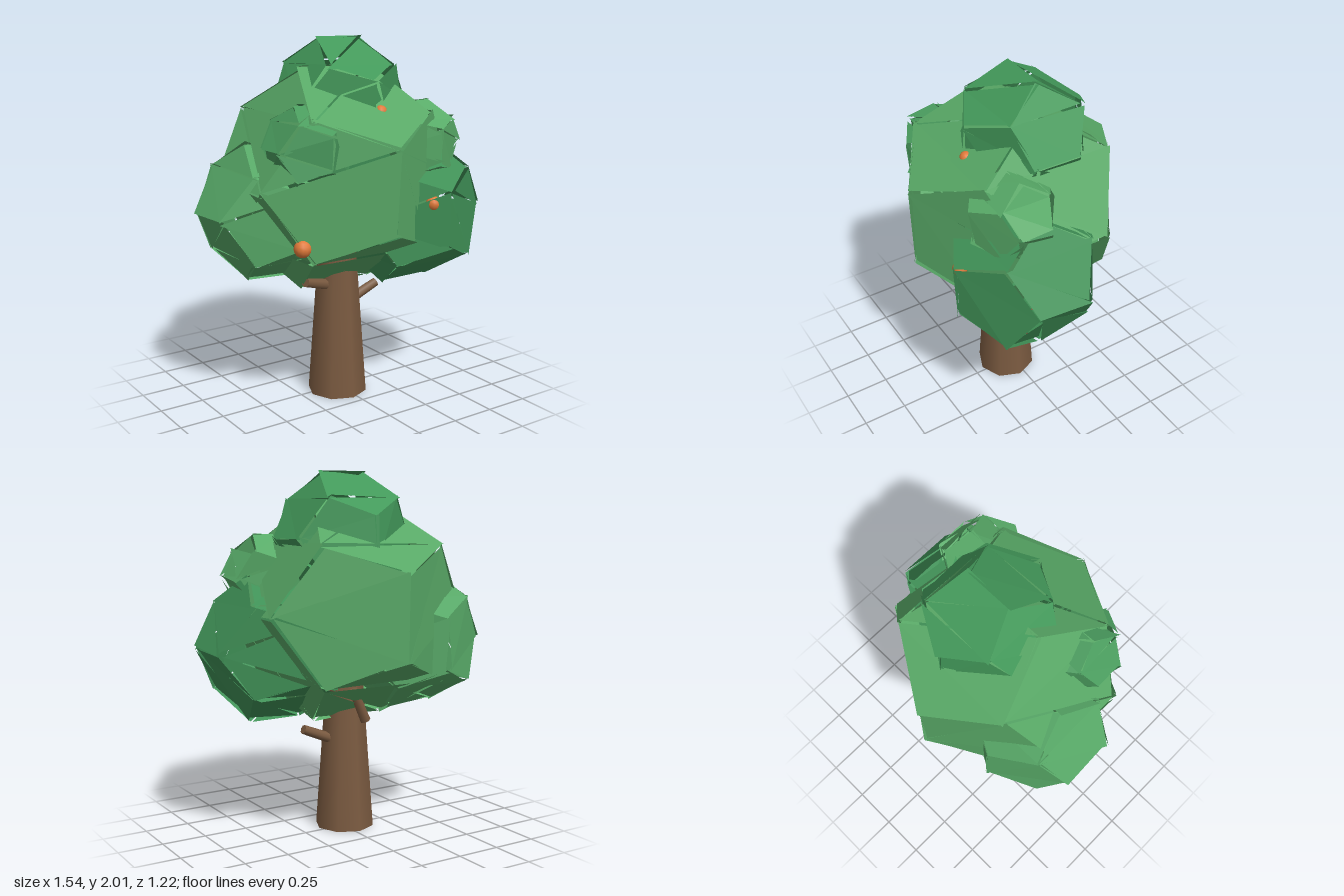
import * as THREE from 'three';

// Small seeded random in the range -1..1
function seeded(seed) {
  let s = seed;
  return () => {
    s = (s * 16807) % 2147483647;
    return (s / 2147483647) * 2 - 1;
  };
}

// Leaf clump: a dodecahedron whose loose triangles are nudged apart
function leafClump(name, [x, y, z], radius, color, seed) {
  const rand = seeded(seed);
  const geo = new THREE.DodecahedronGeometry(radius, 0);
  const p = geo.attributes.position;
  const j = 0.015;
  for (let i = 0; i < p.count; i++) {
    p.setXYZ(i, p.getX(i) + rand() * j, p.getY(i) + rand() * j, p.getZ(i) + rand() * j);
  }
  geo.computeVertexNormals();
  const mesh = new THREE.Mesh(geo, new THREE.MeshStandardMaterial({
    color, flatShading: true, side: THREE.DoubleSide }));
  mesh.name = name;
  mesh.position.set(x, y, z);
  return mesh;
}

// Stub branch between two points
function branch(from, to, radius, material) {
  const a = new THREE.Vector3(...from), b = new THREE.Vector3(...to);
  const dir = b.clone().sub(a);
  const mesh = new THREE.Mesh(
    new THREE.CylinderGeometry(radius * 0.85, radius, dir.length(), 8), material);
  mesh.position.copy(a).add(b).multiplyScalar(0.5);
  mesh.quaternion.setFromUnitVectors(new THREE.Vector3(0, 1, 0), dir.normalize());
  mesh.name = 'branch';
  return mesh;
}

export function createModel() {
  const tree = new THREE.Group();
  tree.name = 'tree';
  const bark = new THREE.MeshStandardMaterial({ color: 0x7a5a40 });
  const fruitSkin = new THREE.MeshStandardMaterial({ color: 0xe07a3a });

  // Tapered trunk
  const trunk = new THREE.Mesh(new THREE.CylinderGeometry(0.107, 0.168, 0.85, 8), bark);
  trunk.name = 'trunk';
  trunk.position.set(-0.025, 0.425, 0.03);
  tree.add(trunk);

  // Branch stubs
  const branches = new THREE.Group();
  branches.name = 'branches';
  [
    [[0.04, 0.505, 0.02], [0.25, 0.59, 0.02], 0.03],
    [[-0.08, 0.64, 0.05], [-0.28, 0.7, 0.1], 0.032],
    [[-0.05, 0.64, -0.15], [0.04, 0.82, -0.165], 0.03],
  ].forEach(([a, b, r]) => branches.add(branch(a, b, r, bark)));
  tree.add(branches);

  // Crown of leaf clumps
  const crown = new THREE.Group();
  crown.name = 'crown';
  [
    ['mainLeaves', [-0.025, 1.245, 0], 0.64, 0x58a866],
    ['topLeaves', [0.035, 1.642, -0.04], 0.375, 0x43995a],
    ['leftLowerLeaves', [0.355, 1.05, 0.155], 0.43, 0x3f9056],
    ['rightLowerLeaves', [-0.375, 1.08, -0.1], 0.405, 0x56a766],
    ['leftUpperLeaves', [0.36, 1.43, 0.23], 0.245, 0x58ab68],
    ['rightUpperLeaves', [-0.33, 1.46, 0.22], 0.24, 0x4a9c5e],
  ].forEach(([name, pos, r, color], i) =>
    crown.add(leafClump(name, pos, r, color, 1234 + i * 7919)));
  tree.add(crown);

  // Round fruit
  const fruits = new THREE.Group();
  fruits.name = 'fruits';
  [[-0.44, 0.965, 0.33, 0.047], [0.28, 1.14, 0.49, 0.04], [0.06, 1.625, 0.31, 0.035]]
    .forEach(([x, y, z, r]) => {
      const fruit = new THREE.Mesh(new THREE.SphereGeometry(r, 12, 8), fruitSkin);
      fruit.name = 'fruit';
      fruit.position.set(x, y, z);
      fruits.add(fruit);
    });
  tree.add(fruits);
  return tree;
}
